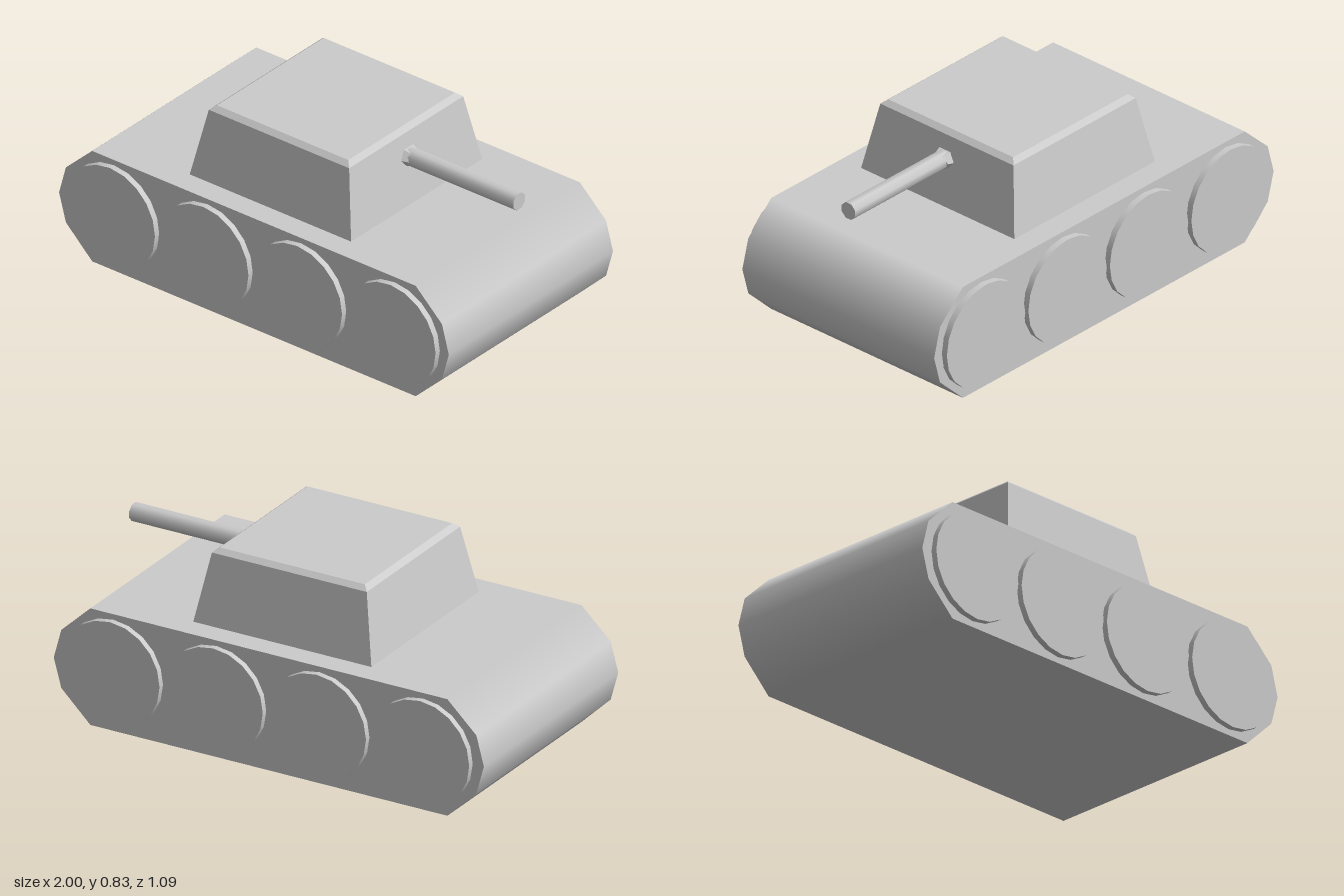
import * as THREE from 'three';

const smooth = new THREE.MeshStandardMaterial({ color: 0xcccccc });
const flat = new THREE.MeshStandardMaterial({ color: 0xcccccc, flatShading: true });

function addMesh(parent, name, geometry, material) {
  const mesh = new THREE.Mesh(geometry, material);
  mesh.name = name;
  parent.add(mesh);
  return mesh;
}

// Side profile extruded across the width, with rounded shading on both ends
function hullGeometry() {
  const half = [[0.83, 0], [0.965, 0.13], [1, 0.256], [0.965, 0.385], [0.83, 0.512]];
  const outline = [...half, ...half.map(([x, y]) => [-x, y]).reverse()];
  const shape = new THREE.Shape(outline.map(([x, y]) => new THREE.Vector2(x, y)));
  const geometry = new THREE.ExtrudeGeometry(shape, { depth: 1.036, bevelEnabled: false });
  geometry.translate(0, 0, -0.518);
  const { position, normal } = geometry.attributes;
  const n = new THREE.Vector3();
  for (let i = 0; i < position.count; i++) {
    if (Math.abs(normal.getZ(i)) > 0.5) continue;
    const x = position.getX(i), y = position.getY(i) - 0.256;
    // Flat top and bottom, radial around the ends
    if (Math.abs(x) < 0.9) n.set(0, Math.sign(y), 0);
    else n.set(x - Math.sign(x) * 0.75, y, 0).normalize();
    normal.setXYZ(i, n.x, n.y, n.z);
  }
  return geometry;
}

export function createModel() {
  const model = new THREE.Group();
  model.name = 'tank';

  addMesh(model, 'hull', hullGeometry(), smooth);

  // Four road wheels on each side
  const wheelGeometry = new THREE.CylinderGeometry(0.231, 0.231, 0.06, 20).rotateX(Math.PI / 2);
  for (const side of [1, -1]) {
    for (let i = 0; i < 4; i++) {
      const wheel = addMesh(model, side > 0 ? 'leftWheel' : 'rightWheel', wheelGeometry, smooth);
      wheel.name = (side > 0 ? 'frontSideWheel' : 'backSideWheel') + (i + 1);
      wheel.position.set(-0.717 + i * 0.48, 0.257, side * 0.515);
    }
  }

  // Tapered square turret with a chamfered roof
  const turretProfile = [[0.414, 0.5], [0.414, 0.512], [0.36, 0.807], [0.337, 0.826], [0, 0.826]]
    .map(([r, y]) => new THREE.Vector2(r * Math.SQRT2, y));
  addMesh(model, 'turret', new THREE.LatheGeometry(turretProfile, 4, Math.PI / 4), flat);

  // Gun pointing along +x, with a six-sided collar at its root
  const gun = new THREE.Group();
  gun.name = 'gun';
  gun.position.set(0, 0.705, 0);
  model.add(gun);

  const collar = new THREE.CylinderGeometry(0.042, 0.06, 0.045, 6)
    .rotateZ(-Math.PI / 2).rotateX(Math.PI / 2);
  collar.rotateX(Math.PI / 2).scale(1, 0.8, 1.06);
  addMesh(gun, 'collar', collar, flat).position.x = 0.38;

  const barrel = new THREE.CylinderGeometry(0.039, 0.039, 0.59, 8, 1, false, Math.PI / 8)
    .rotateZ(-Math.PI / 2);
  addMesh(gun, 'barrel', barrel, smooth).position.x = 0.645;

  return model;
}
